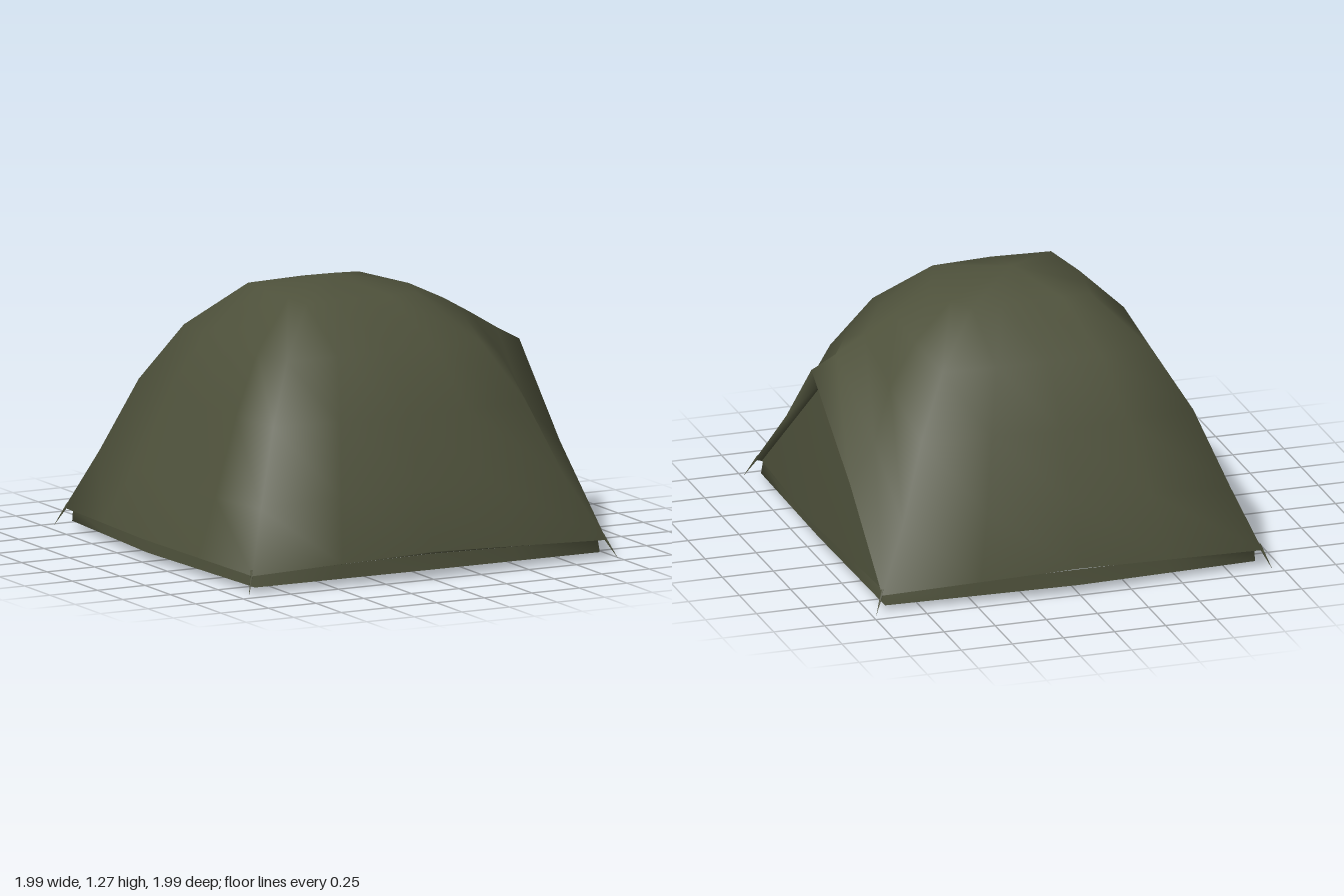
import * as THREE from 'three';

const SEG = 4; // segments along each side of the tent

// One closed squarish ring: corners at (±c, yc, ±c), shifted in x.
// Side middles are [outward distance, height]: mz for ±z, mx for -x, hood for +x.
// sag pulls the fabric between the corners and the hood ridge inwards.
function ring({ c, yc, mz, mx, hood = mx, sag = 0, shift = 0 }) {
  const mids = [mz, hood, mz, mx];
  const pts = [];
  for (let side = 0; side < 4; side++) {
    for (let i = 0; i < SEG; i++) {
      const t = -1 + (2 * i) / SEG;
      const u = 1 - Math.abs(t);
      const [out, top] = mids[side];
      const dip = side === 1 ? sag * 4 * u * (1 - u) : 0;
      const o = c + (out - c) * u - dip;
      const y = yc + (top - yc) * u - dip * 0.5;
      const a = t * c;
      const [x, z] = [[a, o], [o, -a], [-a, -o], [-o, a]][side];
      pts.push(x + shift * (1 - u), y, z);
    }
  }
  return pts;
}

// Joins rings from top to bottom; an optional apex closes the top.
function loft(rings, apexY) {
  const n = SEG * 4;
  const pos = rings.flatMap(ring);
  const idx = [];
  for (let k = 0; k < rings.length - 1; k++) {
    for (let j = 0; j < n; j++) {
      const a = k * n + j, d = k * n + ((j + 1) % n);
      idx.push(a, a + n, d + n, a, d + n, d);
    }
  }
  if (apexY !== undefined) {
    const p = pos.length / 3;
    pos.push(0, apexY, 0);
    for (let j = 0; j < n; j++) idx.push(p, j, (j + 1) % n);
  }
  return build(pos, idx);
}

function build(pos, idx) {
  const g = new THREE.BufferGeometry();
  g.setAttribute('position', new THREE.Float32BufferAttribute(pos, 3));
  g.setIndex(idx);
  g.computeVertexNormals();
  return g;
}

export function createModel() {
  const tent = new THREE.Group();
  tent.name = 'tent';
  const canvas = new THREE.MeshStandardMaterial({ color: 0x4e513b, side: THREE.DoubleSide });
  canvas.name = 'olive canvas';

  const add = (name, geometry) => {
    const mesh = new THREE.Mesh(geometry, canvas);
    mesh.name = name;
    tent.add(mesh);
    return mesh;
  };

  // Open-bottomed dome with a hood drawn out over the door; the last ring is the turned-in hem
  add('dome', loft([
    { c: 0.29, yc: 1.215, mz: [0.3, 1.22], mx: [0.33, 1.22], hood: [0.4, 1.2] },
    { c: 0.51, yc: 1.0, mz: [0.565, 1.01], mx: [0.55, 1.01], hood: [0.58, 1.115], sag: -0.015 },
    { c: 0.665, yc: 0.73, mz: [0.745, 0.73], mx: [0.705, 0.73], hood: [0.72, 1.035], sag: -0.015 },
    { c: 0.8, yc: 0.38, mz: [0.88, 0.43], mx: [0.86, 0.36], hood: [0.86, 0.95], sag: 0.025 },
    { c: 0.93, yc: 0.097, mz: [0.995, 0.14], mx: [1, 0.12], hood: [0.98, 0.885], sag: 0.015, shift: 0.015 },
    { c: 0.9, yc: 0.097, mz: [0.95, 0.122], mx: [0.95, 0.115], hood: [0.89, 0.85], shift: 0.015 },
  ], 1.285));

  // Triangular door panel under the hood, its foot bowed slightly outwards
  add('door', build([
    0.89, 0.85, 0,
    0.92, 0.1, 0.9,
    0.985, 0.135, 0,
    0.92, 0.1, -0.9,
    0.945, 0.12, 0,
  ], [0, 1, 2, 0, 2, 3, 2, 1, 4, 3, 2, 4]));

  // Upright wall around the foot of the tent
  add('skirt', loft([
    { c: 0.9, yc: 0.097, mz: [0.965, 0.125], mx: [0.965, 0.118], hood: [0.945, 0.12], shift: 0.015 },
    { c: 0.905, yc: 0.037, mz: [0.977, 0.052], mx: [0.972, 0.052], hood: [0.945, 0.052], shift: 0.018 },
  ]));

  // Corner pegs leaning outwards into the ground
  for (const sx of [-1, 1]) {
    for (const sz of [-1, 1]) {
      const from = new THREE.Vector3(sx * 0.92 + 0.015, 0.12, sz * 0.91);
      const to = new THREE.Vector3(sx * 0.97 + 0.018, 0.01, sz * 0.965);
      const dir = to.clone().sub(from);
      const peg = add('peg', new THREE.ConeGeometry(0.008, dir.length(), 6));
      peg.position.copy(from).add(to).multiplyScalar(0.5);
      peg.quaternion.setFromUnitVectors(new THREE.Vector3(0, 1, 0), dir.normalize());
    }
  }
  return tent;
}
